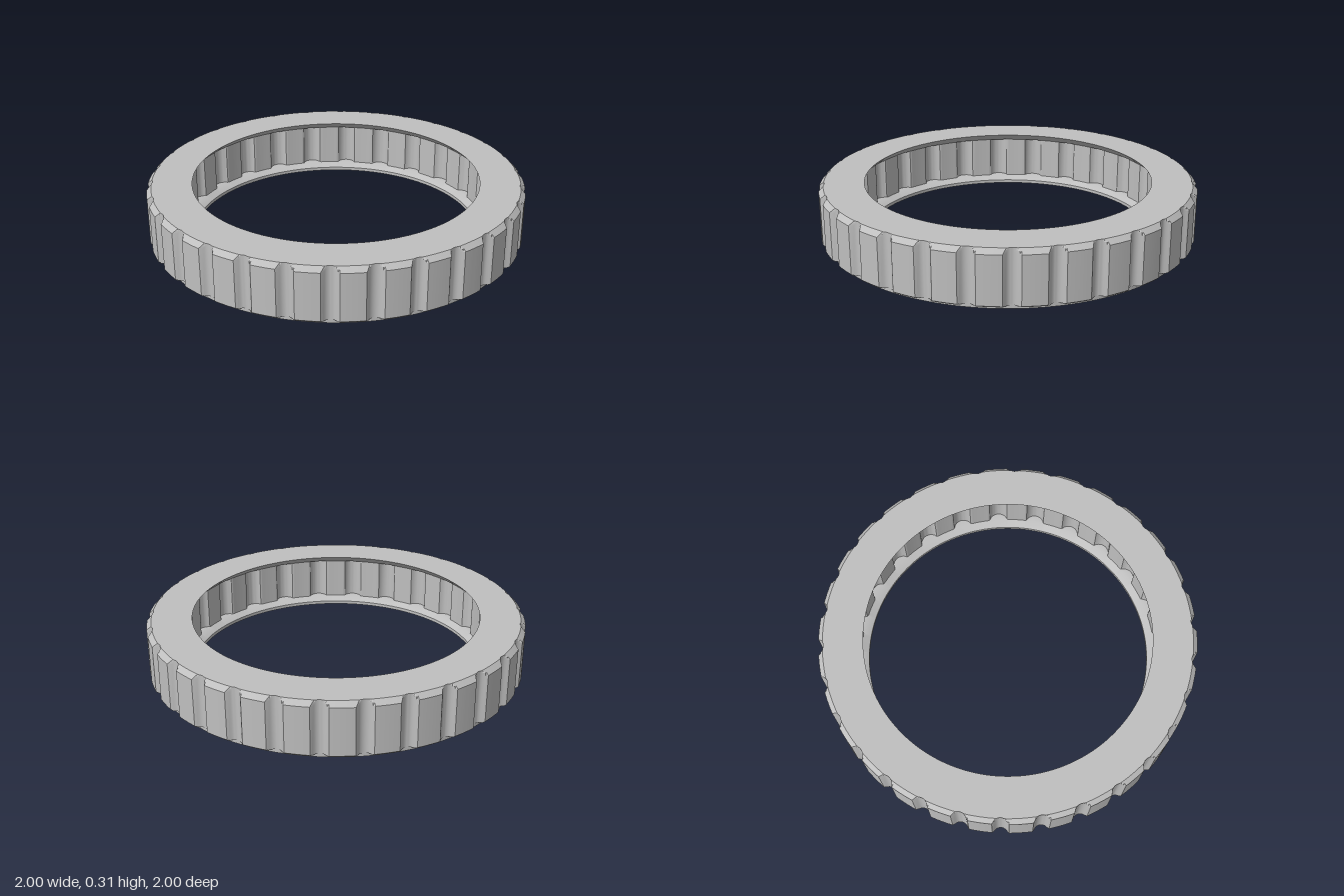
import * as THREE from 'three';
import { toCreasedNormals } from 'three/addons/utils/BufferGeometryUtils.js';

const STEPS = 720; // half-degree steps around the ring

// Angle to the nearest centre of a pattern repeated every `pitch` degrees
function offsetAngle(deg, pitch, phase) {
  const d = deg - phase;
  return THREE.MathUtils.degToRad(d - pitch * Math.round(d / pitch));
}

// Grip outline: 30 round grooves cut into a rim, limited to radius `cap`
function grip(cap) {
  const c = 1.01, rad = 0.04;
  return (deg) => {
    const a = offsetAngle(deg, 12, 6);
    const h = rad * rad - (c * Math.sin(a)) ** 2;
    return h > 0 ? Math.min(cap, c * Math.cos(a) - Math.sqrt(h)) : cap;
  };
}

// Bore outline: 24 round pockets cut outward from the inner wall
function pockets(deg) {
  const wall = 0.805, c = 0.79, rad = 0.052;
  const a = offsetAngle(deg, 15, 0);
  const h = rad * rad - (c * Math.sin(a)) ** 2;
  return h > 0 ? Math.max(wall, c * Math.cos(a) + Math.sqrt(h)) : wall;
}

const circle = (r) => () => r;

// Loft through a list of [height, outline] loops
function loft(loops) {
  const pos = [], index = [];
  const radii = loops.map(([, outline]) =>
    Array.from({ length: STEPS }, (_, i) => outline((i * 360) / STEPS)));
  loops.forEach(([y], k) => {
    for (let i = 0; i < STEPS; i++) {
      const t = (i / STEPS) * Math.PI * 2, r = radii[k][i];
      pos.push(r * Math.sin(t), y, r * Math.cos(t));
    }
  });
  for (let k = 0; k < loops.length - 1; k++) {
    const level = loops[k][0] === loops[k + 1][0];
    const same = (i) => level && Math.abs(radii[k][i] - radii[k + 1][i]) < 1e-6;
    for (let i = 0; i < STEPS; i++) {
      const j = (i + 1) % STEPS;
      const a = k * STEPS + i, b = k * STEPS + j;
      if (!same(j)) index.push(a, b, b + STEPS);
      if (!same(i)) index.push(a, b + STEPS, a + STEPS);
    }
  }
  const geo = new THREE.BufferGeometry();
  geo.setAttribute('position', new THREE.Float32BufferAttribute(pos, 3));
  geo.setIndex(index);
  return toCreasedNormals(geo, THREE.MathUtils.degToRad(28));
}

export function createModel() {
  const group = new THREE.Group();
  group.name = 'grooved ring';
  const grey = new THREE.MeshStandardMaterial({ color: 0xbfbfbf });
  grey.name = 'light grey';

  const add = (name, loops) => {
    const mesh = new THREE.Mesh(loft(loops), grey);
    mesh.name = name;
    group.add(mesh);
  };

  // Recessed foot, grooved grip and its chamfered top edge
  add('outerGrip', [
    [0, circle(0.967)],
    [0.02, circle(0.967)],
    [0.02, grip(0.994)],
    [0.026, grip(1)],
    [0.28, grip(1)],
    [0.293, grip(0.987)],
    [0.305, grip(0.975)],
  ]);

  // Flat top face
  add('topFace', [[0.305, grip(0.975)], [0.305, circle(0.762)]]);

  // Bore: chamfered lips with a pocketed wall between them
  add('innerBore', [
    [0.305, circle(0.762)],
    [0.266, circle(0.805)],
    [0.266, pockets],
    [0.039, pockets],
    [0.039, circle(0.805)],
    [0.018, circle(0.765)],
    [0, circle(0.765)],
  ]);

  // Flat underside
  add('bottomFace', [[0, circle(0.765)], [0, circle(0.967)]]);

  return group;
}
